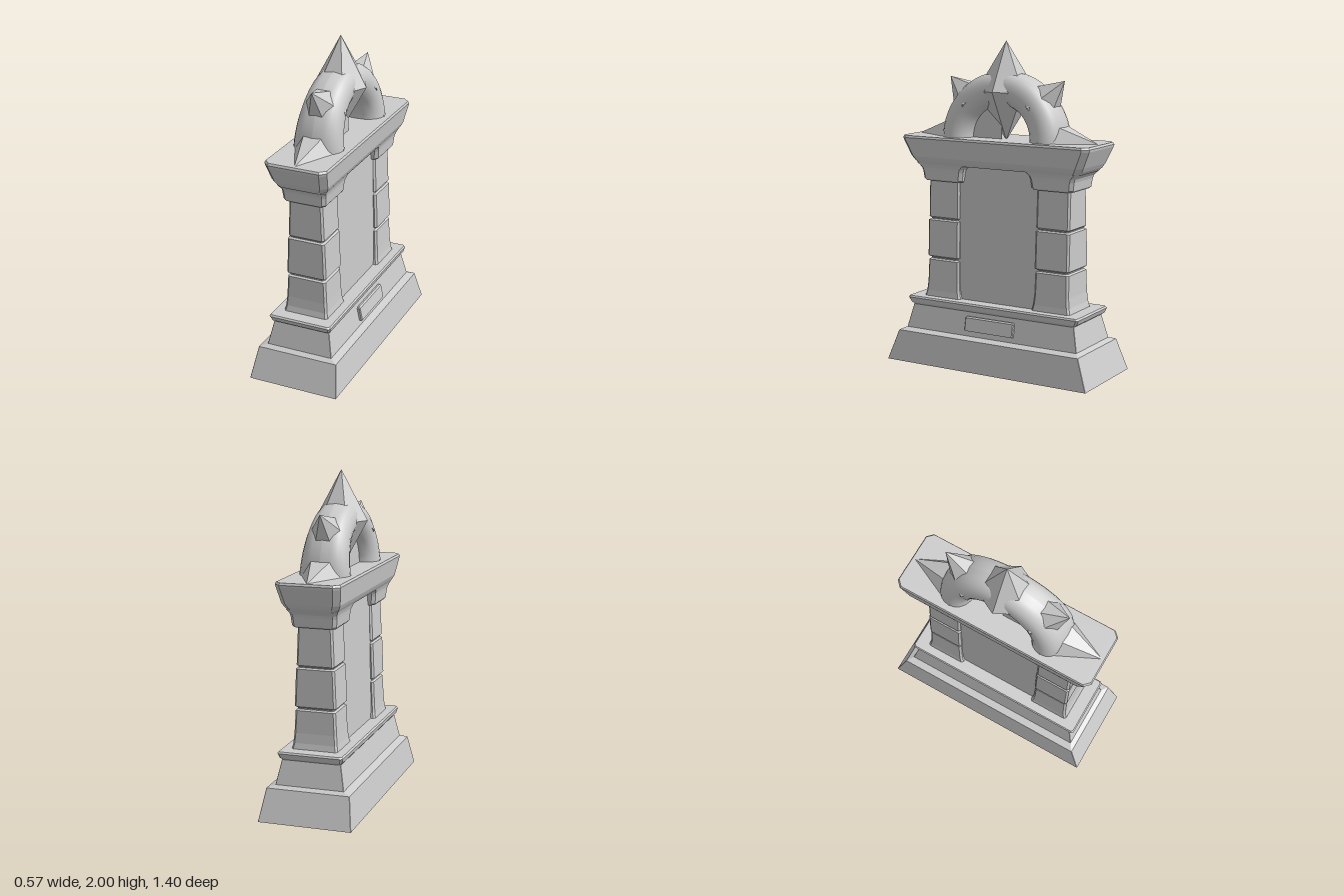
import * as THREE from 'three';

const stone = new THREE.MeshStandardMaterial({ color: 0xcccccc });
stone.name = 'grey stone';

// Stack of rectangles with cut corners: rings are [y, halfX, halfZ], faceted and capped
function loft(rings, cut = 0.01) {
  const loops = rings.map(([y, a, b]) => [
    [a, b - cut], [a, cut - b], [a - cut, -b], [cut - a, -b],
    [-a, cut - b], [-a, b - cut], [cut - a, b], [a - cut, b],
  ].map(([x, z]) => [x, y, z]));
  const pos = [];
  const tri = (...pts) => pts.forEach((p) => pos.push(...p));
  for (let i = 0; i < loops.length - 1; i++) {
    const lo = loops[i], hi = loops[i + 1];
    for (let j = 0; j < 8; j++) {
      const k = (j + 1) % 8;
      tri(lo[j], lo[k], hi[k]);
      tri(lo[j], hi[k], hi[j]);
    }
  }
  const bottom = loops[0], top = loops[loops.length - 1];
  for (let j = 1; j < 7; j++) {
    tri(top[0], top[j], top[j + 1]);
    tri(bottom[0], bottom[j + 1], bottom[j]);
  }
  const geo = new THREE.BufferGeometry();
  geo.setAttribute('position', new THREE.Float32BufferAttribute(pos, 3));
  geo.computeVertexNormals();
  return geo;
}

// Six-sided faceted cone with its base at y = 0
function facetedCone(height) {
  const geo = new THREE.ConeGeometry(1, height, 6, 1).toNonIndexed();
  geo.rotateY(Math.PI / 2);
  geo.translate(0, height / 2, 0);
  return geo;
}

export function createModel() {
  const model = new THREE.Group();
  model.name = 'stone monument';
  const add = (name, geo, parent = model) => {
    const mesh = new THREE.Mesh(geo, stone);
    mesh.name = name;
    parent.add(mesh);
    return mesh;
  };

  // Stepped, sloping plinth and its ledge
  add('plinth', loft([
    [0, 0.285, 0.7], [0.19, 0.255, 0.632], [0.205, 0.21, 0.6], [0.355, 0.18, 0.565],
  ], 0.002));
  add('plinthLedge', loft([
    [0.35, 0.18, 0.565], [0.365, 0.192, 0.587], [0.395, 0.2, 0.6], [0.405, 0.193, 0.592],
  ], 0.012));

  // Small tilted plaque on one long side
  const plaque = add('plaque', loft([
    [-0.045, 0.02, 0.17], [0.035, 0.02, 0.17], [0.045, 0.013, 0.163],
  ], 0.005));
  plaque.position.set(0.194, 0.28, 0);
  plaque.rotation.z = 0.2;

  // Recessed wall between the pillars
  add('wallPanel', loft([[0.4, 0.112, 0.33], [1.26, 0.092, 0.33]]));

  // Pillars of three blocks with grooves, each under a flared capital
  for (const side of [1, -1]) {
    const pillar = add('pillar', loft([
      [0.4, 0.142, 0.131], [0.44, 0.135, 0.121], [0.5, 0.13, 0.115],
      [0.635, 0.123, 0.112], [0.643, 0.112, 0.1], [0.65, 0.112, 0.1], [0.66, 0.127, 0.115],
      [0.885, 0.118, 0.114], [0.893, 0.107, 0.102], [0.898, 0.107, 0.102], [0.907, 0.115, 0.112],
      [1.15, 0.105, 0.111],
    ], 0.012));
    pillar.position.z = side * 0.383;
    const capital = add('capital', loft([
      [1.135, 0.127, 0.131], [1.145, 0.135, 0.139], [1.195, 0.14, 0.146],
      [1.215, 0.143, 0.153], [1.232, 0.149, 0.169], [1.245, 0.154, 0.184],
    ], 0.02));
    capital.position.z = side * 0.382;
  }

  // Lintel spanning both capitals and widening to the cornice
  add('cornice', loft([
    [1.24, 0.152, 0.564], [1.26, 0.165, 0.583], [1.285, 0.177, 0.598],
    [1.385, 0.193, 0.644], [1.4, 0.196, 0.647], [1.413, 0.19, 0.64],
  ], 0.035));

  // Crown: arch, recessed infill and radiating spikes
  const crown = new THREE.Group();
  crown.name = 'crown';
  crown.position.y = 1.41;
  model.add(crown);

  // Arch with a squarish oval section, thicker towards its feet
  const arch = new THREE.TorusGeometry(0.305, 0.105, 20, 40, Math.PI);
  const p = arch.attributes.position;
  for (let i = 0; i < p.count; i++) {
    const x = p.getX(i), y = p.getY(i), r = Math.hypot(x, y), s = p.getZ(i) / 0.105;
    const half = 0.153 - 0.033 * (y / r);
    p.setZ(i, Math.sign(s) * Math.pow(Math.abs(s), 0.75) * half);
  }
  arch.computeVertexNormals();
  arch.rotateY(Math.PI / 2);
  add('arch', arch, crown);

  const infill = new THREE.CylinderGeometry(0.26, 0.26, 0.1, 32, 1, false, 0, Math.PI);
  infill.rotateZ(Math.PI / 2);
  infill.rotateX(-Math.PI / 2);
  // keep the half disc above the cornice whichever way it was turned
  infill.computeBoundingBox();
  if (infill.boundingBox.min.y < -0.1) infill.rotateX(Math.PI);
  add('archInfill', infill, crown);

  // Side spikes: [angle above horizontal, base radius, tip radius, halfX, half across]
  for (const side of [1, -1]) {
    for (const [angle, base, tip, halfX, across] of [
      [0, 0.3, 0.63, 0.158, 0.15],
      [0.74, 0.3, 0.54, 0.14, 0.16],
    ]) {
      const geo = facetedCone(tip - base);
      geo.scale(halfX, 1, across);
      geo.translate(0, base, 0);
      geo.rotateX(side * (Math.PI / 2 - angle));
      geo.computeVertexNormals();
      add('sideSpike', geo, crown);
    }
  }

  // Central crystal: two six-sided cones base to base
  const upper = facetedCone(0.3);
  upper.scale(0.165, 1, 0.185);
  upper.computeVertexNormals();
  add('crystalTop', upper, crown).position.y = 0.29;
  const lower = facetedCone(0.3);
  lower.rotateX(Math.PI);
  lower.scale(0.165, 1, 0.185);
  lower.computeVertexNormals();
  add('crystalBottom', lower, crown).position.y = 0.29;

  return model;
}
